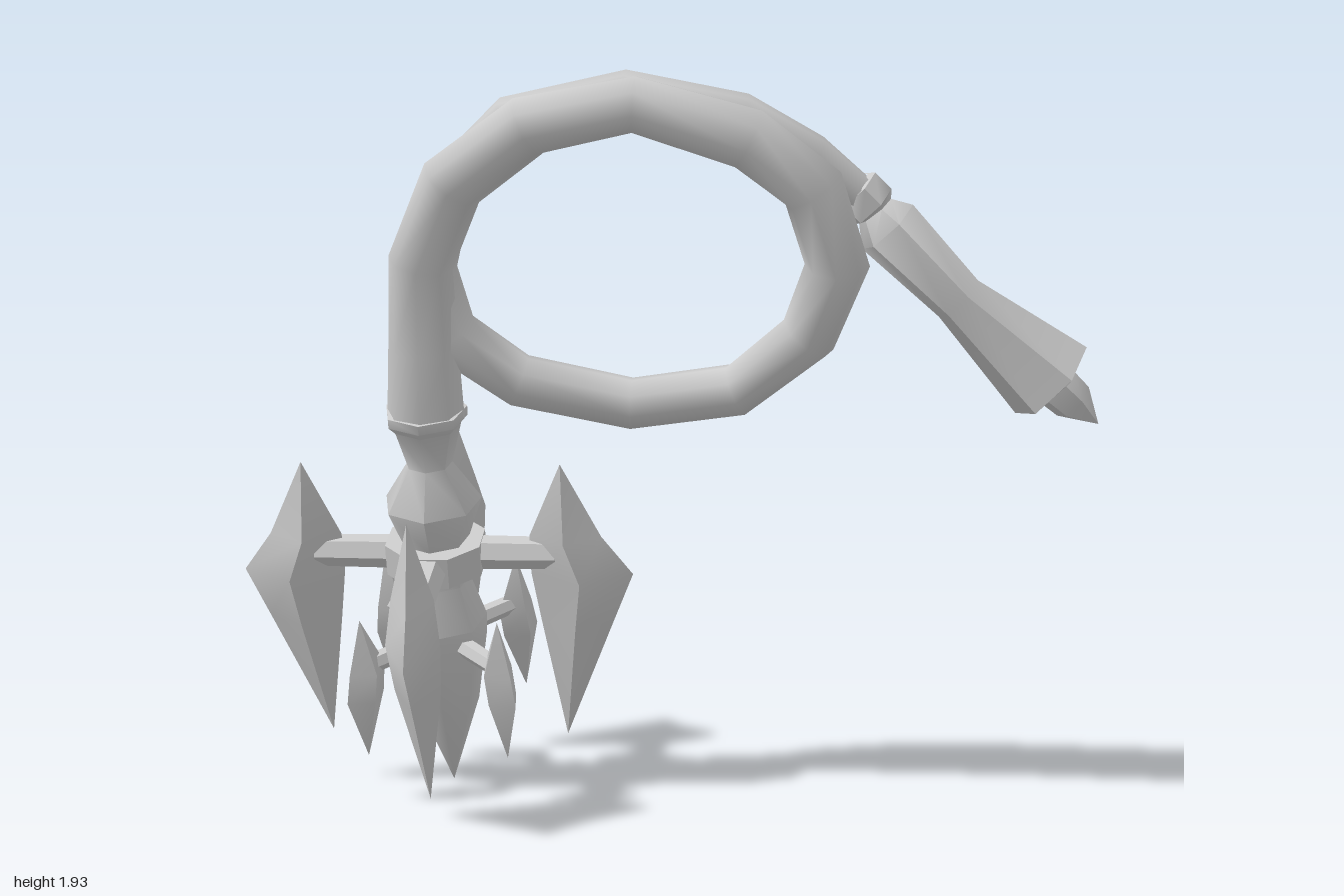
import * as THREE from 'three';
import { toCreasedNormals } from 'three/addons/utils/BufferGeometryUtils.js';

const V = (x, y, z) => new THREE.Vector3(x, y, z);
const material = new THREE.MeshStandardMaterial({ color: 0xcccccc });

function part(name, geometry, crease = 0.9) {
  const mesh = new THREE.Mesh(toCreasedNormals(geometry, crease), material);
  mesh.name = name;
  return mesh;
}

// Skin a row of equal rings, each counter-clockwise about the travel direction
function skin(rings) {
  const n = rings[0].length, index = [];
  for (let i = 0; i < rings.length - 1; i++) {
    for (let j = 0; j < n; j++) {
      const a = i * n + j, b = i * n + (j + 1) % n;
      index.push(a, b, b + n, a, b + n, a + n);
    }
  }
  const geometry = new THREE.BufferGeometry().setFromPoints(rings.flat());
  geometry.setIndex(index);
  return geometry;
}

// Tube through stations [x, y, z, radius], its frame carried along the path
function taperedTube(stations, sides) {
  const pts = stations.map(s => V(s[0], s[1], s[2]));
  const u = V(0, 0, 1);
  return skin(pts.map((p, i) => {
    const next = pts[Math.min(i + 1, pts.length - 1)], prev = pts[Math.max(i - 1, 0)];
    const t = next.clone().sub(prev).normalize();
    u.addScaledVector(t, -u.dot(t)).normalize();
    const v = t.clone().cross(u);
    return Array.from({ length: sides }, (_, j) => {
      const a = j / sides * Math.PI * 2, r = stations[i][3];
      return p.clone().addScaledVector(u, r * Math.cos(a)).addScaledVector(v, r * Math.sin(a));
    });
  }));
}

// Blade with a diamond section; rows are [height, inner, outer, half thickness]
function blade(rows) {
  return skin(rows.map(([h, a, b, t]) => {
    const m = a * 0.5 + b * 0.5;
    return [V(m, h, t), V(b, h, 0), V(m, h, -t), V(a, h, 0)];
  }));
}

// Claw on a short arm reaching out from the hub
function claw(name, rows, armHeight, armLength, armRadius) {
  const group = new THREE.Group();
  group.name = name;
  group.add(part(name + 'Blade', blade(rows)));
  const arm = new THREE.CylinderGeometry(armRadius, armRadius * 1.1, armLength, 6);
  arm.rotateZ(-Math.PI / 2).translate(armLength / 2, armHeight, 0);
  group.add(part(name + 'Arm', arm));
  return group;
}

export function createModel() {
  const model = new THREE.Group();
  model.name = 'coiledClawWhip';

  // Coiled cord, from the handle round one full loop to the head
  model.add(part('cord', taperedTube([
    [0.40, 1.62, 0.44, 0.05], [0.25, 1.73, 0.43, 0.062], [0.08, 1.82, 0.39, 0.07],
    [-0.18, 1.87, 0.29, 0.075], [-0.42, 1.81, 0.13, 0.075], [-0.56, 1.64, 0.01, 0.075],
    [-0.59, 1.45, -0.04, 0.075], [-0.53, 1.28, -0.05, 0.075], [-0.36, 1.16, -0.02, 0.07],
    [-0.09, 1.10, 0.08, 0.068], [0.15, 1.14, 0.21, 0.07], [0.28, 1.29, 0.36, 0.075],
    [0.305, 1.47, 0.47, 0.08], [0.22, 1.66, 0.51, 0.08], [0.06, 1.78, 0.48, 0.08],
    [-0.2, 1.86, 0.40, 0.072], [-0.42, 1.81, 0.26, 0.078], [-0.57, 1.67, 0.11, 0.082],
    [-0.625, 1.47, 0.01, 0.082], [-0.605, 1.25, -0.05, 0.09], [-0.59, 1.07, -0.09, 0.1],
  ], 8), 1.1));

  // Handle with collar, waisted grip and pointed pommel
  model.add(part('handle', taperedTube([
    [0.36, 1.66, 0.43, 0.05], [0.37, 1.65, 0.43, 0.068], [0.41, 1.61, 0.44, 0.068],
    [0.42, 1.60, 0.44, 0.05], [0.45, 1.56, 0.45, 0.085], [0.63, 1.38, 0.49, 0.068],
    [0.87, 1.17, 0.54, 0.125], [0.885, 1.155, 0.54, 0.06], [0.93, 1.115, 0.55, 0.055],
    [1.0, 1.055, 0.56, 0],
  ], 6)));

  // Head, built upright and then tilted along its own axis
  const head = new THREE.Group();
  head.name = 'head';
  const up = V(-0.133, 0.953, 0.271).normalize();
  const out = V(0.9, 0, 0.43);
  out.addScaledVector(up, -out.dot(up)).normalize();
  head.quaternion.setFromRotationMatrix(
    new THREE.Matrix4().makeBasis(out, up, out.clone().cross(up)));
  head.position.set(-0.53, 0.635, -0.215);
  model.add(head);

  // Core: central spike, bulbs, neck and collar
  const profile = [[0, -0.655], [0.085, -0.4], [0.118, -0.2], [0.122, -0.14], [0.085, -0.02],
    [0.09, 0.1], [0.13, 0.21], [0.06, 0.32], [0.09, 0.43], [0.108, 0.45], [0.108, 0.475],
    [0.07, 0.48]].map(([r, h]) => new THREE.Vector2(r, h));
  head.add(part('core', new THREE.LatheGeometry(profile, 7)));

  const belt = new THREE.CylinderGeometry(0.135, 0.135, 0.085, 8);
  belt.rotateY(Math.PI / 8).translate(0, 0.06, 0);
  head.add(part('belt', belt, 0.5));

  // Four large claws, with four small ones lower down between them
  const largeRows = [[-0.5, 0.325, 0.325, 0], [-0.14, 0.27, 0.465, 0.06],
    [0, 0.25, 0.52, 0.07], [0.11, 0.25, 0.44, 0.055], [0.32, 0.34, 0.34, 0]];
  const smallRows = [[-0.46, 0.265, 0.265, 0], [-0.28, 0.2, 0.315, 0.045],
    [-0.2, 0.19, 0.3, 0.045], [-0.05, 0.255, 0.255, 0]];
  for (let i = 0; i < 4; i++) {
    const large = claw('largeClaw', largeRows, 0.06, 0.32, 0.042);
    large.rotation.y = i * Math.PI / 2;
    const small = claw('smallClaw', smallRows, -0.19, 0.24, 0.026);
    small.rotation.y = (i + 0.5) * Math.PI / 2;
    head.add(large, small);
  }
  return model;
}
